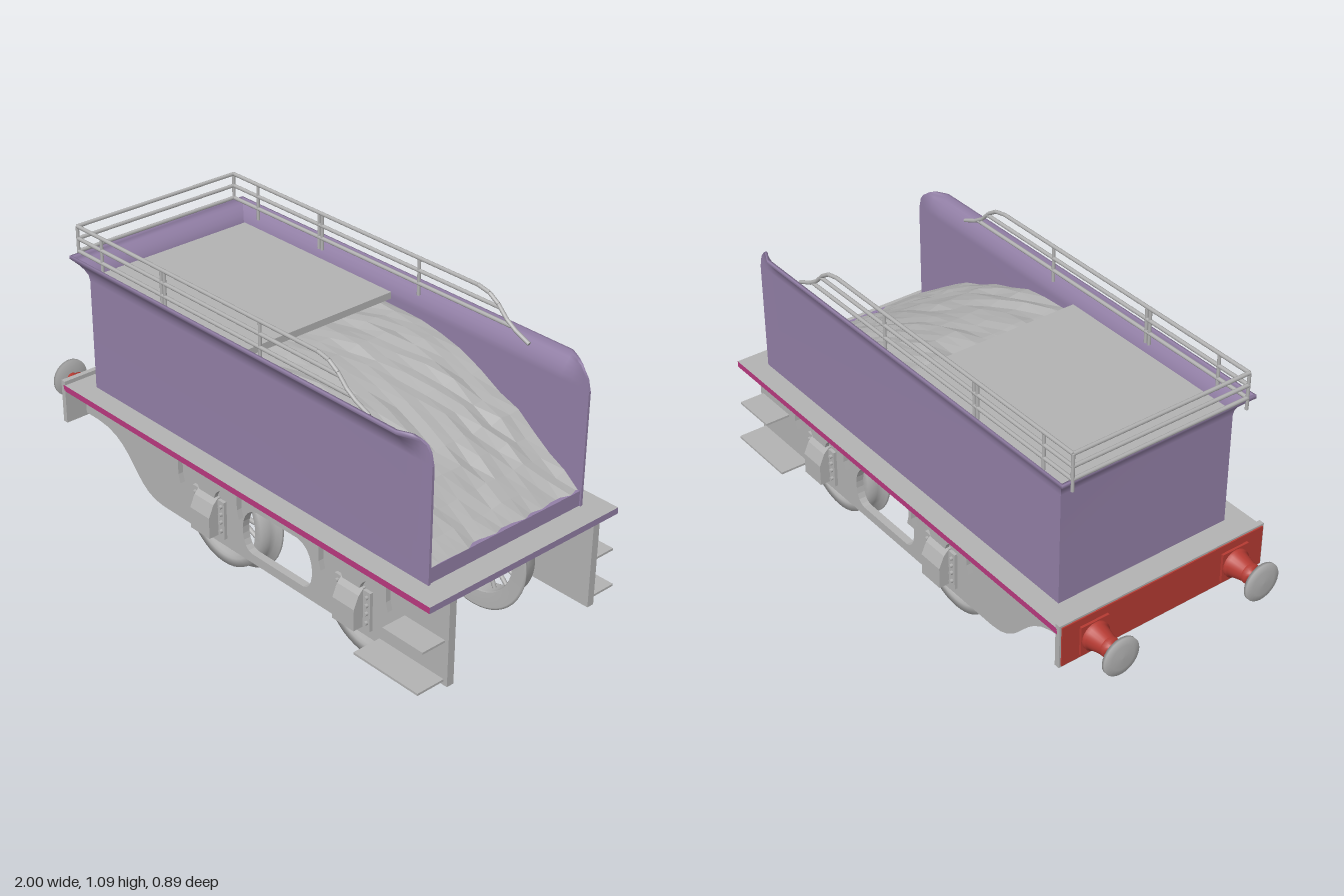
import * as THREE from 'three';

const mat = (name, color, side = THREE.FrontSide) => {
  const m = new THREE.MeshStandardMaterial({ color, side });
  m.name = name;
  return m;
};

export function createModel() {
  const grey = mat('grey metal', 0xb2b2b2);
  const greySheet = mat('grey sheet', 0xb2b2b2, THREE.DoubleSide);
  greySheet.flatShading = true;
  const purple = mat('purple paint', 0x927fa6);
  const purpleSheet = mat('purple sheet', 0x927fa6, THREE.DoubleSide);
  const pink = mat('pink lining', 0xb8397f);
  const red = mat('red paint', 0xb53a32);

  const root = new THREE.Group();
  root.name = 'tender';
  const add = (name, geo, m, x = 0, y = 0, z = 0, parent = root) => {
    const mesh = new THREE.Mesh(geo, m);
    mesh.name = name;
    mesh.position.set(x, y, z);
    parent.add(mesh);
    return mesh;
  };
  // box given by its min and max on each axis
  const box = (name, m, x0, x1, y0, y1, z0, z1, parent) =>
    add(name, new THREE.BoxGeometry(x1 - x0, y1 - y0, z1 - z0), m, (x0 + x1) / 2, (y0 + y1) / 2, (z0 + z1) / 2, parent);
  // rod between two points
  const rod = (name, a, b, r, m = grey, parent = root) => {
    const p = new THREE.Vector3(...a), q = new THREE.Vector3(...b), d = q.clone().sub(p);
    const mesh = add(name, new THREE.CylinderGeometry(r, r, d.length(), 8), m, 0, 0, 0, parent);
    mesh.position.copy(p).add(q).multiplyScalar(0.5);
    mesh.quaternion.setFromUnitVectors(new THREE.Vector3(0, 1, 0), d.normalize());
  };
  // extrusion centred on its depth
  const extrude = (shape, depth) =>
    new THREE.ExtrudeGeometry(shape, { depth, bevelEnabled: false, curveSegments: 10 }).translate(0, 0, -depth / 2);
  const poly = pts => new THREE.Shape(pts.map(p => new THREE.Vector2(...p)));
  // grid surface from rows of equally many points
  const loft = rows => {
    const n = rows[0].length, index = [];
    for (let i = 0; i < rows.length - 1; i++)
      for (let j = 0; j < n - 1; j++) {
        const a = i * n + j, b = a + n;
        index.push(a, b, a + 1, b, b + 1, a + 1);
      }
    const g = new THREE.BufferGeometry();
    g.setAttribute('position', new THREE.Float32BufferAttribute(rows.flat(2), 3));
    g.setIndex(index);
    g.computeVertexNormals();
    return g;
  };

  // footplate: grey top, pink long edges, purple ends and underside
  add('footplate', new THREE.BoxGeometry(1.84, 0.023, 0.84), [purple, purple, grey, purple, pink, pink], 0.08, 0.4735, 0);

  // body sheets with flared tops
  const levels = [0.485, 0.9, 0.92, 0.94, 0.955, 0.967, 0.975, 0.987];
  const section = (x, z, dx, dz, flare, top) => {
    const at = inset => levels.map(l => {
      const y = Math.min(l, top);
      const o = flare * Math.pow(Math.min(1, Math.max(0, (l - 0.9) / 0.075)), 2) - inset;
      return [x + dx * o, y, z + dz * o];
    });
    return [...at(0), ...at(0.009).reverse()];
  };
  const stations = [[-0.75, 0.055, 0.987], [0.8, 0.04, 0.987], [0.845, 0.018, 0.985], [0.87, 0.008, 0.975],
    [0.89, 0, 0.96], [0.905, 0, 0.94], [0.915, 0, 0.9]];
  for (const s of [1, -1]) {
    const rows = stations.map(([x, f, top], i) => section(x, s * 0.343, i ? 0 : -1, s * (i ? 1 : 0.75), f, top));
    add('bodySide', loft(rows), purpleSheet);
    box('bodySideEdge', purple, 0.909, 0.916, 0.485, 0.9, s * 0.3385 - 0.0045, s * 0.3385 + 0.0045);
  }
  add('bodyRear', loft([1, -1].map(s => section(-0.75, s * 0.343, -1, s * 0.75, 0.055, 0.987))), purpleSheet);
  box('coalBoard', purple, 0.895, 0.91, 0.485, 0.54, -0.335, 0.335);
  box('tankTop', grey, -0.735, 0.03, 0.896, 0.921, -0.335, 0.335);

  // coal pile sloping down to the open end
  let seed = 7;
  const rnd = () => (seed = (seed * 16807) % 2147483647) / 2147483647;
  const slope = new THREE.CatmullRomCurve3([[0, 0.885], [0.2, 0.875], [0.4, 0.82], [0.6, 0.73], [0.76, 0.63], [0.91, 0.535]]
    .map(([x, y]) => new THREE.Vector3(x, y, 0)));
  const coalRows = [];
  for (let i = 0; i <= 11; i++) {
    const p = slope.getPoint(i / 11), row = [];
    for (let j = 0; j <= 16; j++)
      row.push([p.x, p.y + (rnd() - 0.5) * 0.018, -0.335 + j * 0.67 / 16]);
    coalRows.push(row);
  }
  add('coal', loft(coalRows), greySheet);

  // guard rails
  const zr = 0.345, xr = -0.805;
  const rails = [
    [[xr, 1.085], [0.42, 1.085], [0.47, 1.075], [0.51, 1.05], [0.55, 1.01], [0.59, 0.985], [0.65, 0.96]],
    [[xr, 1.04], [0.52, 1.04]],
    [[xr, 0.993], [0.57, 0.993]]];
  for (const s of [1, -1]) {
    for (const pts of rails)
      for (let i = 1; i < pts.length; i++)
        rod('guardRail', [...pts[i - 1], s * zr], [...pts[i], s * zr], 0.007);
    for (const x of [xr, -0.67, -0.345, -0.328, 0.15])
      rod('railPost', [x, 0.95, s * zr], [x, 1.085, s * zr], 0.006);
  }
  for (const y of [1.085, 1.04, 0.993]) rod('rearRail', [xr, y, -zr], [xr, y, zr], 0.007);

  // buffer beam and buffers
  box('bufferBeam', grey, -0.852, -0.832, 0.335, 0.5, -0.42, 0.42);
  box('bufferBeamFace', red, -0.857, -0.852, 0.342, 0.493, -0.413, 0.413);
  const bufferPart = (name, profile, m, z) => {
    const g = new THREE.LatheGeometry(profile.map(p => new THREE.Vector2(...p)), 24);
    add(name, g.rotateZ(Math.PI / 2), m, -0.855, 0.41, z);
  };
  for (const s of [1, -1]) {
    box('bufferBase', red, -0.866, -0.856, 0.355, 0.465, s * 0.29 - 0.055, s * 0.29 + 0.055);
    bufferPart('bufferHousing', [[0.052, 0], [0.052, 0.02], [0.046, 0.022], [0.034, 0.075], [0.036, 0.076], [0.036, 0.09],
      [0.022, 0.091], [0.022, 0.125]], red, s * 0.29);
    bufferPart('bufferHead', [[0, 0.121], [0.03, 0.122], [0.07, 0.127], [0.07, 0.137], [0.045, 0.143], [0, 0.145]], grey, s * 0.29);
  }

  // side frames with lightening hole
  const frame = new THREE.Shape();
  frame.moveTo(-0.835, 0.462);
  frame.lineTo(-0.835, 0.345);
  frame.lineTo(-0.76, 0.345);
  frame.bezierCurveTo(-0.55, 0.34, -0.57, 0.155, -0.4, 0.152);
  frame.lineTo(1, 0.152);
  frame.lineTo(1, 0.462);
  const hole = new THREE.Path();
  hole.moveTo(0.08, 0.187);
  hole.bezierCurveTo(0.02, 0.19, 0.01, 0.35, 0.11, 0.36);
  hole.lineTo(0.31, 0.36);
  hole.bezierCurveTo(0.405, 0.35, 0.395, 0.19, 0.34, 0.187);
  frame.holes.push(hole);
  const frameGeo = extrude(frame, 0.028);

  // wheel parts: tyre with inner flange, hub and spokes
  const tyre = new THREE.LatheGeometry([[0.168, -0.035], [0.222, -0.04], [0.23, -0.036], [0.228, -0.029], [0.21, -0.018],
    [0.205, 0], [0.2, 0.04], [0.17, 0.04], [0.165, 0.03], [0.165, -0.03], [0.168, -0.035]]
    .map(p => new THREE.Vector2(...p)), 48).rotateX(Math.PI / 2);
  const hub = new THREE.CylinderGeometry(0.042, 0.042, 0.07, 24).rotateX(Math.PI / 2);
  const spoke = new THREE.CylinderGeometry(0.007, 0.011, 0.14, 8).translate(0, 0.1, 0);

  // spring leaf, axle box and hanger shapes
  const spring = new THREE.Shape();
  spring.moveTo(-0.155, 0.425);
  spring.quadraticCurveTo(0, 0.385, 0.155, 0.425);
  spring.lineTo(0.155, 0.405);
  spring.quadraticCurveTo(0.05, 0.385, 0.04, 0.335);
  spring.lineTo(-0.04, 0.335);
  spring.quadraticCurveTo(-0.05, 0.385, -0.155, 0.405);
  const axleBox = poly([[0.33, 0.19], [0.385, 0.19], [0.385, 0.27], [0.365, 0.315], [0.345, 0.335], [0.33, 0.335]]);
  const hanger = poly([[-0.017, 0.312], [0.017, 0.312], [0.008, 0.345], [0.007, 0.428], [-0.007, 0.428], [-0.008, 0.345]]);
  const springGeo = extrude(spring, 0.016), hangerGeo = extrude(hanger, 0.02);
  const axleBoxGeo = extrude(axleBox, 0.1).rotateY(-Math.PI / 2);

  for (const s of [1, -1]) {
    add('sideFrame', frameGeo, grey, 0, 0, s * 0.32);
    // crew steps
    for (const [x, y, z] of [[0.81, 0.315, 0.43], [0.7, 0.17, 0.445]])
      box('step', grey, x, 0.985, y - 0.004, y + 0.004, s > 0 ? 0.33 : -z, s > 0 ? z : -0.33);

    for (const x of [-0.13, 0.585]) {
      const axle = new THREE.Group();
      axle.name = 'wheelAndSpring';
      axle.position.x = x;
      axle.rotation.y = s > 0 ? 0 : Math.PI;
      root.add(axle);
      const wheel = new THREE.Group();
      wheel.name = 'wheel';
      wheel.position.set(0, 0.23, 0.245);
      axle.add(wheel);
      add('tyre', tyre, grey, 0, 0, 0, wheel);
      add('hub', hub, grey, 0, 0, 0, wheel);
      for (let i = 0; i < 16; i++) add('spoke', spoke, grey, 0, 0, 0, wheel).rotation.z = i * Math.PI / 8;

      add('spring', springGeo, grey, 0, 0, 0.345, axle);
      add('axleBox', axleBoxGeo, grey, 0, 0, 0, axle);
      box('springSeat', grey, -0.11, 0.11, 0.45, 0.46, 0.33, 0.36, axle);
      for (const side of [1, -1]) {
        add('springHanger', hangerGeo, grey, side * 0.155, 0, 0.346, axle);
        box('axleGuide', grey, side * 0.066 - 0.016, side * 0.066 + 0.016, 0.185, 0.33, 0.33, 0.346, axle);
        for (const y of [0.215, 0.25, 0.28, 0.31])
          rod('bolt', [side * 0.068, y, 0.34], [side * 0.068, y, 0.356], 0.007, grey, axle);
      }
    }
  }
  return root;
}
